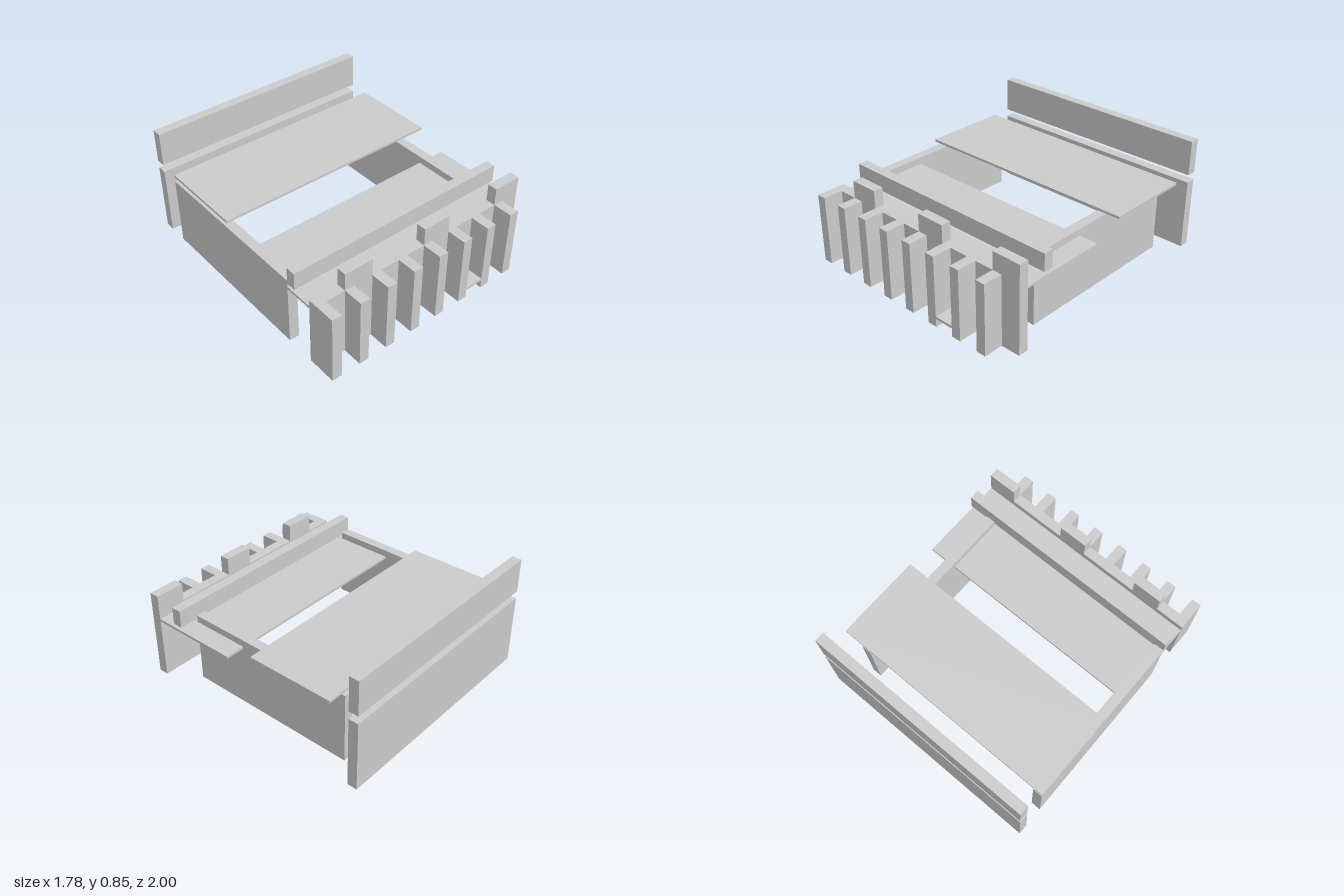
import * as THREE from 'three';

const U = 2 / 27; // module: one wall thickness
const HALF = 12 * U; // half the overall width
const WALL_TOP = 7.2 * U;
const SHEET = U / 4; // thickness of the thin panels

export function createModel() {
  const model = new THREE.Group();
  model.name = 'fortModel';
  const material = new THREE.MeshStandardMaterial({ color: 0xcccccc, flatShading: true });

  // Box given by its extents on each axis
  function block(name, [x0, x1], [y0, y1], [z0, z1], parent = model) {
    const mesh = new THREE.Mesh(new THREE.BoxGeometry(x1 - x0, y1 - y0, z1 - z0), material);
    mesh.position.set((x0 + x1) / 2, (y0 + y1) / 2, (z0 + z1) / 2);
    mesh.name = name;
    parent.add(mesh);
    return mesh;
  }

  const fullWidth = [-HALF, HALF];
  const wallHeight = [0, WALL_TOP];

  // Back wall and the raised parapet floating above it
  const backDepth = [-1, -1 + U];
  block('backWall', fullWidth, wallHeight, backDepth);
  block('backParapet', fullWidth, [8 * U, 11.52 * U], backDepth);

  // Side walls
  for (const [name, x] of [['rightWall', -HALF], ['leftWall', 9 * U]]) {
    block(name, [x, x + U], wallHeight, [-10.5 * U, 7.5 * U]);
  }

  // Thin panels: upper at the rear, lower at the front
  block('rearPanel', fullWidth, [0.57, 0.57 + SHEET], [-10.5 * U, -1.5 * U]);
  block('frontPanel', fullWidth, [0.463, 0.463 + SHEET], [1.5 * U, 10.5 * U]);

  // Cross beam in front of the side walls
  block('crossBeam', fullWidth, [0.511, 0.641], [7.5 * U, 8.5 * U]);

  // Front wall with battlements
  const front = new THREE.Group();
  front.name = 'frontFacade';
  model.add(front);
  const frontDepth = [10.5 * U, 11.5 * U];
  block('frontWall', fullWidth, wallHeight, frontDepth, front);
  for (const x of [-9, 0, 9]) {
    block('battlement', [x * U, (x + 3) * U], [WALL_TOP, 9 * U], frontDepth, front);
  }

  // Evenly spaced buttresses
  const buttressDepth = [11.5 * U, 1];
  for (let i = 0; i < 8; i++) {
    const x = -HALF + i * 3 * U;
    block('buttress', [x, x + U], wallHeight, buttressDepth, front);
  }

  // Small shelf between two buttresses
  block('shelf', [4 * U, 6 * U], [0.062, 0.062 + SHEET], buttressDepth, front);

  return model;
}
